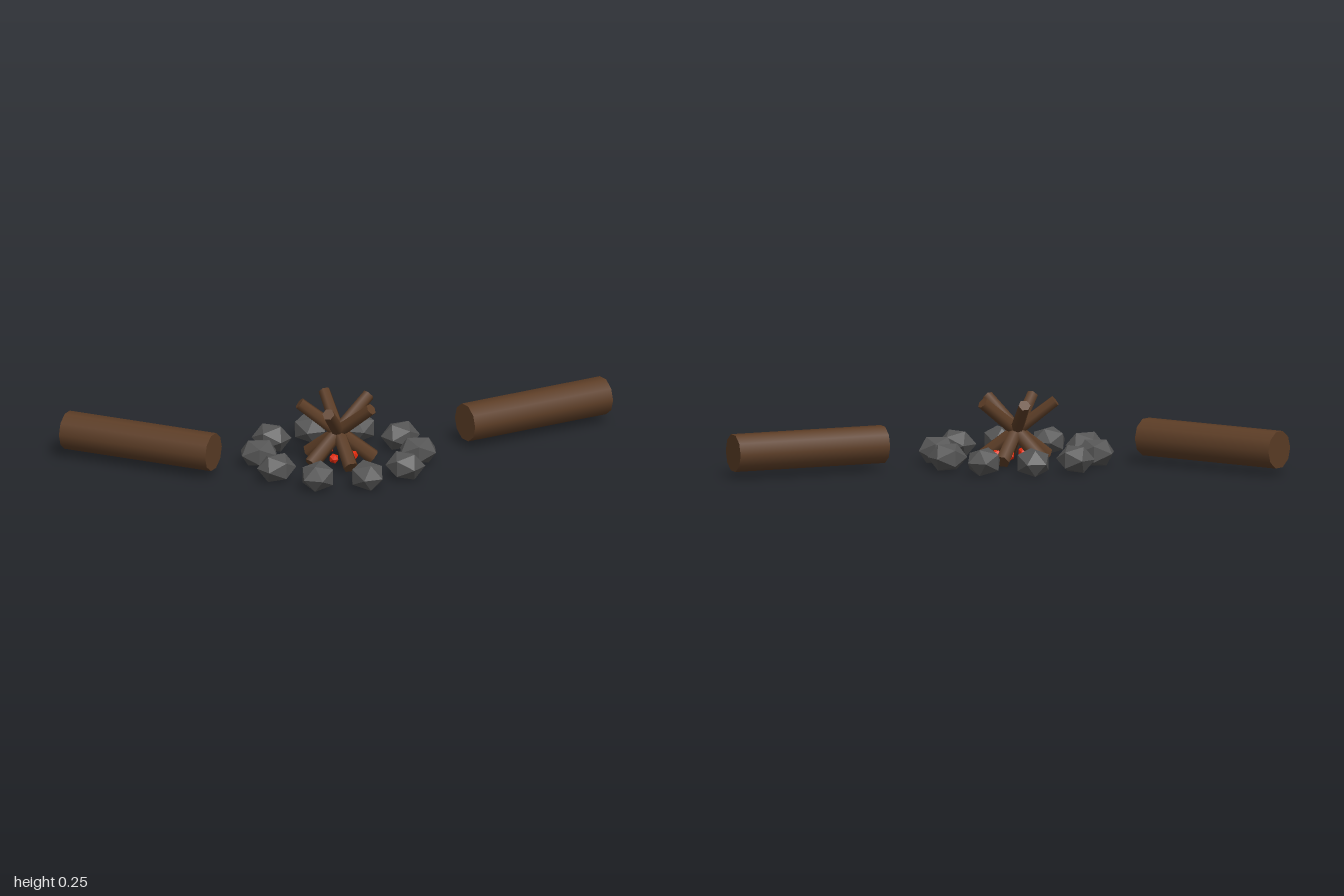
import * as THREE from 'three';

const BARK = new THREE.MeshStandardMaterial({ color: 0x5c3d26 });
const STONE = new THREE.MeshStandardMaterial({ color: 0x555555, flatShading: true });
const EMBER = new THREE.MeshStandardMaterial({ color: 0xe02a0c, flatShading: true });

function add(parent, name, geometry, material) {
  const mesh = new THREE.Mesh(geometry, material);
  mesh.name = name;
  parent.add(mesh);
  return mesh;
}

export function createModel() {
  const model = new THREE.Group();
  model.name = 'campfire';

  // Two seating logs lying on their sides
  const logGeometry = new THREE.CylinderGeometry(0.069, 0.069, 0.58, 10).rotateZ(Math.PI / 2);
  for (const [name, x, z, yaw] of [['leftLog', 0.712, -0.223, 0.5], ['rightLog', -0.713, 0.059, -0.5]]) {
    const log = add(model, name, logGeometry, BARK);
    log.position.set(x, 0.091, z);
    log.rotation.y = yaw;
  }

  const pit = new THREE.Group();
  pit.name = 'firePit';
  pit.position.set(-0.005, 0, 0.085);
  model.add(pit);

  // Ring of ten flattened stones, each longest along the radius
  const stoneGeometry = new THREE.IcosahedronGeometry(0.0735, 0).scale(1, 0.75, 0.9);
  for (let i = 0; i < 10; i++) {
    const a = (i / 10) * Math.PI * 2;
    const stone = add(pit, 'stone', stoneGeometry, STONE);
    stone.position.set(0.285 * Math.cos(a), 0.047, 0.285 * Math.sin(a));
    stone.rotation.y = -a;
  }

  // Five sticks leaning through a common crossing point
  const stickGeometry = new THREE.CylinderGeometry(0.022, 0.028, 0.336, 6)
    .rotateZ(-0.907).translate(0.0075, 0.1285, 0);
  for (let i = 0; i < 5; i++) {
    const stick = add(pit, 'stick', stickGeometry, BARK);
    stick.rotation.y = Math.PI + (i / 5) * Math.PI * 2;
  }

  // Glowing embers under the sticks
  const emberGeometry = new THREE.IcosahedronGeometry(0.019, 0);
  for (let i = 0; i < 8; i++) {
    const a = (i / 8) * Math.PI * 2 + 0.35;
    const r = i % 2 ? 0.075 : 0.055;
    const ember = add(pit, 'ember', emberGeometry, EMBER);
    ember.position.set(r * Math.cos(a), 0.038, r * Math.sin(a));
    ember.rotation.y = a;
  }

  return model;
}
